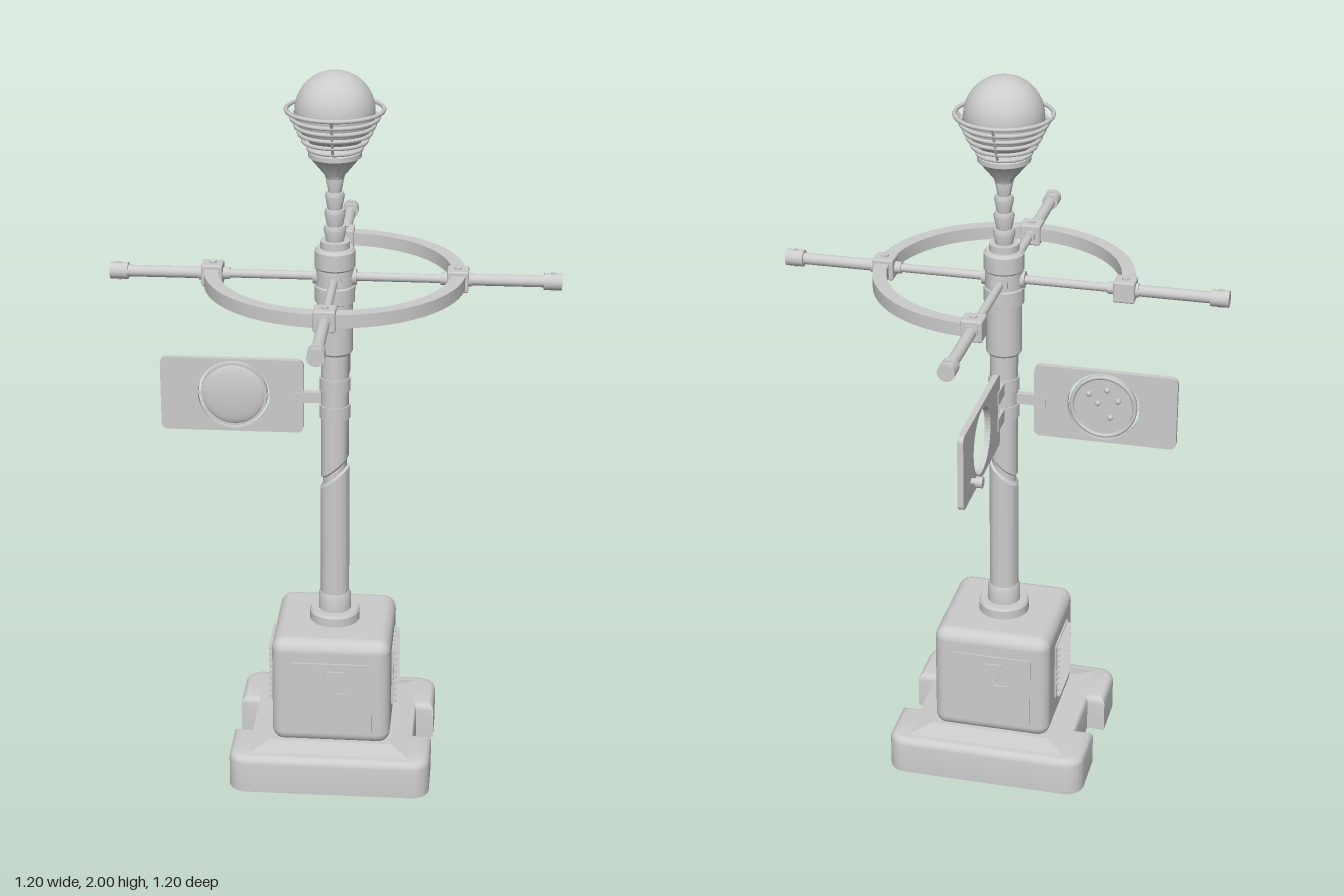
import * as THREE from 'three';
import { toCreasedNormals } from 'three/addons/utils/BufferGeometryUtils.js';
import { RoundedBoxGeometry } from 'three/addons/geometries/RoundedBoxGeometry.js';

const material = new THREE.MeshStandardMaterial({ color: 0xcccccc });
const V2 = (x, y) => new THREE.Vector2(x, y);

function add(parent, name, geometry, x = 0, y = 0, z = 0) {
  const mesh = new THREE.Mesh(geometry, material);
  mesh.name = name;
  mesh.position.set(x, y, z);
  parent.add(mesh);
  return mesh;
}
function group(parent, name) {
  const g = new THREE.Group();
  g.name = name;
  parent.add(g);
  return g;
}
const box = (w, h, d) => new THREE.BoxGeometry(w, h, d);
const cyl = (r, h) => new THREE.CylinderGeometry(r, r, h, 24);
const lathe = (pts, start = 0, sweep = Math.PI * 2) =>
  toCreasedNormals(new THREE.LatheGeometry(pts.map(p => V2(...p)), 48, start, sweep), 0.5);

// Rounded rectangle outline
function roundedRect(x0, y0, x1, y1, r) {
  const s = new THREE.Shape();
  s.absarc(x1 - r, y0 + r, r, -Math.PI / 2, 0);
  s.absarc(x1 - r, y1 - r, r, 0, Math.PI / 2);
  s.absarc(x0 + r, y1 - r, r, Math.PI / 2, Math.PI);
  s.absarc(x0 + r, y0 + r, r, Math.PI, Math.PI * 1.5);
  s.closePath();
  return s;
}

// Flat plate centred on z = 0
function plate(shape, depth) {
  return new THREE.ExtrudeGeometry(shape, { depth, bevelEnabled: false, curveSegments: 24 })
    .translate(0, 0, -depth / 2);
}

function buildBase(model) {
  const base = group(model, 'base');
  // Foot slab with a notch in each side and a bevelled upper edge
  const s = new THREE.Shape();
  const X = 0.28, Z = 0.255, R = 0.05, N = 0.082, D = 0.23;
  s.absarc(X - R, -Z + R, R, -Math.PI / 2, 0);
  s.lineTo(X, -N); s.lineTo(D, -N); s.lineTo(D, N); s.lineTo(X, N);
  s.absarc(X - R, Z - R, R, 0, Math.PI / 2);
  s.absarc(-X + R, Z - R, R, Math.PI / 2, Math.PI);
  s.lineTo(-X, N); s.lineTo(-D, N); s.lineTo(-D, -N); s.lineTo(-X, -N);
  s.absarc(-X + R, -Z + R, R, Math.PI, Math.PI * 1.5);
  s.closePath();
  const slab = new THREE.ExtrudeGeometry(s, {
    depth: 0.088, bevelThickness: 0.02, bevelSize: 0.022, bevelOffset: -0.022, bevelSegments: 4, curveSegments: 8,
  });
  slab.rotateX(-Math.PI / 2);
  const p = slab.attributes.position;
  for (let i = 0; i < p.count; i++) if (p.getY(i) < 0) p.setY(i, 0);
  add(base, 'footSlab', toCreasedNormals(slab, 0.6));
  const slope = new THREE.CylinderGeometry(0.17 * Math.SQRT2, 0.226 * Math.SQRT2, 0.014, 4);
  add(base, 'footTop', slope.rotateY(Math.PI / 4).toNonIndexed(), 0, 0.114, 0).geometry.computeVertexNormals();

  // Cabinet with a bolt panel front and back and slatted vents at the sides
  add(base, 'cabinet', new RoundedBoxGeometry(0.33, 0.32, 0.33, 5, 0.035), 0, 0.27, 0);
  const bolt = new THREE.Shape([
    V2(-0.012, 0.345), V2(-0.037, 0.252), V2(-0.006, 0.252), V2(-0.022, 0.165),
    V2(0.048, 0.277), V2(0.016, 0.277), V2(0.034, 0.345)]);
  for (const side of [1, -1]) {
    const face = group(base, side > 0 ? 'frontPanel' : 'backPanel');
    face.rotation.y = side > 0 ? 0 : Math.PI;
    add(face, 'panel', plate(roundedRect(-0.115, 0.148, 0.115, 0.367, 0.01), 0.012), 0, 0, 0.164);
    add(face, 'boltSymbol', plate(bolt, 0.006), 0, 0, 0.172);
    const vent = group(base, side > 0 ? 'leftVent' : 'rightVent');
    add(vent, 'ventFrame', box(0.014, 0.17, 0.15), side * 0.163, 0.282, 0);
    for (let i = 0; i < 9; i++) {
      const slat = add(vent, 'slat', box(0.02, 0.009, 0.142), side * 0.171, 0.206 + i * 0.019, 0);
      slat.rotation.z = -side * 0.35;
    }
  }
}

function buildPole(model) {
  const pole = group(model, 'pole');
  add(pole, 'footCollar', lathe([[0, 0.42], [0.07, 0.42], [0.07, 0.455], [0.065, 0.462], [0.045, 0.462],
    [0.045, 0.505], [0.041, 0.515], [0, 0.515]]));
  // Shaft with one slanted groove
  const shaft = new THREE.LatheGeometry([[0.04, 0.45], [0.04, 0.864], [0.033, 0.871], [0.033, 0.889],
    [0.038, 0.896], [0.038, 1.25]].map(q => V2(...q)), 48);
  const p = shaft.attributes.position;
  for (let i = 0; i < p.count; i++) {
    const y = p.getY(i);
    if (y > 0.8 && y < 1) p.setY(i, y + p.getX(i) * 0.85);
  }
  add(pole, 'shaft', toCreasedNormals(shaft, 0.5));
  for (const y of [1.06, 1.14]) add(pole, 'hingeBand', cyl(0.042, 0.038), 0, y, 0);
  add(pole, 'hub', lathe([[0, 1.23], [0.044, 1.23], [0.048, 1.236], [0.048, 1.375], [0.054, 1.378], [0.054, 1.42],
    [0.051, 1.424], [0.051, 1.47], [0.054, 1.474], [0.054, 1.518], [0.048, 1.526], [0.04, 1.526],
    [0.04, 1.545], [0, 1.545]]));
  // Neck of stacked flared rings
  for (let i = 0; i < 4; i++) {
    const r = 0.03 - i * 0.002, y = 1.54 + i * 0.046;
    add(pole, 'neckRing', lathe([[0, y], [r - 0.007, y], [r, y + 0.036], [r - 0.003, y + 0.046], [0, y + 0.046]]));
  }
}

function buildLamp(model) {
  const lamp = group(model, 'lamp');
  add(lamp, 'lampCone', lathe([[0, 1.715], [0.024, 1.715], [0.027, 1.725], [0.064, 1.77], [0.07, 1.775],
    [0.07, 1.788], [0.063, 1.792], [0.05, 1.81], [0, 1.81]]));
  add(lamp, 'globe', new THREE.SphereGeometry(0.105, 48, 32), 0, 1.895, 0);
  // Cage of widening rings on four ribs
  const rings = [[0.07, 1.797], [0.083, 1.817], [0.094, 1.838], [0.103, 1.858], [0.113, 1.878], [0.127, 1.9]];
  for (const [r, y] of rings)
    add(lamp, 'cageRing', new THREE.TorusGeometry(r, 0.0055, 8, 48).rotateX(Math.PI / 2), 0, y, 0);
  const ribPath = new THREE.CatmullRomCurve3(rings.map(([r, y]) => new THREE.Vector3(r, y, 0)));
  for (let i = 0; i < 4; i++)
    add(lamp, 'cageRib', new THREE.TubeGeometry(ribPath, 12, 0.004, 6)).rotation.y = i * Math.PI / 2;
}

function buildCross(model) {
  const cross = group(model, 'crossArms');
  cross.position.y = 1.445;
  // Three quarters of a hoop, open at the back right
  add(cross, 'hoop', lathe([[0.31, -0.018], [0.347, -0.018], [0.347, 0.018], [0.31, 0.018], [0.31, -0.018]],
    -Math.PI / 2, Math.PI * 1.5));
  for (let i = 0; i < 4; i++) {
    const arm = group(cross, 'arm');
    arm.rotation.y = i * Math.PI / 2;
    const rod = (name, r, a, b) => add(arm, name, cyl(r, b - a).rotateZ(Math.PI / 2), (a + b) / 2, 0, 0);
    rod('socket', 0.022, 0.03, 0.058);
    rod('innerRod', 0.0115, 0.04, 0.33);
    rod('innerSleeve', 0.016, 0.28, 0.31);
    rod('outerRod', 0.0155, 0.33, 0.57);
    rod('outerSleeve', 0.019, 0.34, 0.362);
    rod('endCap', 0.0225, 0.552, 0.6);
    add(arm, 'clampBlock', new RoundedBoxGeometry(0.057, 0.058, 0.057, 2, 0.005), 0.326, 0, 0);
    add(arm, 'clampScrew', cyl(0.01, 0.068), 0.326, 0, 0);
    add(arm, 'capScrew', cyl(0.006, 0.05), 0.576, 0, 0);
  }
}

function buildSigns(model) {
  const circle = (r) => {
    const h = new THREE.Path();
    h.absarc(0.275, 1.1, r, 0, Math.PI * 2, true);
    return h;
  };
  const disc = (name, parent, r, d, x, y, z = 0) => add(parent, name, cyl(r, d).rotateX(Math.PI / 2), x, y, z);

  // Side sign with a domed disc set in its opening
  const side = group(model, 'sideSign');
  side.rotation.y = Math.PI;
  const sidePlate = roundedRect(0.085, 0.993, 0.475, 1.203, 0.018);
  sidePlate.holes.push(circle(0.098));
  add(side, 'signPlate', plate(sidePlate, 0.016));
  disc('signDisc', side, 0.091, 0.016, 0.275, 1.1);
  add(side, 'discDome', new THREE.SphereGeometry(0.085, 32, 16).scale(1, 1, 0.16), 0.275, 1.1, -0.006);
  add(side, 'discPins', box(0.2, 0.008, 0.008), 0.275, 1.1, 0);
  add(side, 'discRim', new THREE.TorusGeometry(0.086, 0.006, 8, 48), 0.275, 1.1, 0.008);
  for (const [x, y] of [[-0.04, 0.035], [0.01, 0.05], [0.04, 0.02], [-0.015, 0.01], [0.02, -0.03]])
    add(side, 'discStud', new THREE.SphereGeometry(0.008, 10, 8), 0.275 + x, 1.1 + y, 0.009);
  add(side, 'signArm', box(0.085, 0.03, 0.018), 0.075, 1.097, 0);
  disc('armScrew', side, 0.007, 0.026, 0.11, 1.1);

  // Rear sign with an open hole, carried on two tabs
  const rear = group(model, 'rearSign');
  rear.rotation.y = Math.PI / 2;
  const rearPlate = roundedRect(0.08, 0.993, 0.47, 1.203, 0.015);
  rearPlate.holes.push(circle(0.09));
  const slot = roundedRect(0.081, 1.078, 0.1, 1.12, 0.002);
  rearPlate.holes.push(slot);
  add(rear, 'signPlate', plate(rearPlate, 0.016));
  for (const y of [1.06, 1.138]) add(rear, 'signTab', box(0.08, 0.036, 0.022), 0.07, y, 0);
  disc('knobStem', rear, 0.009, 0.02, 0.39, 1.04, -0.014);
  disc('knob', rear, 0.015, 0.018, 0.39, 1.04, -0.03);
}

export function createModel() {
  const model = new THREE.Group();
  model.name = 'signalPost';
  buildBase(model);
  buildPole(model);
  buildLamp(model);
  buildCross(model);
  buildSigns(model);
  return model;
}
